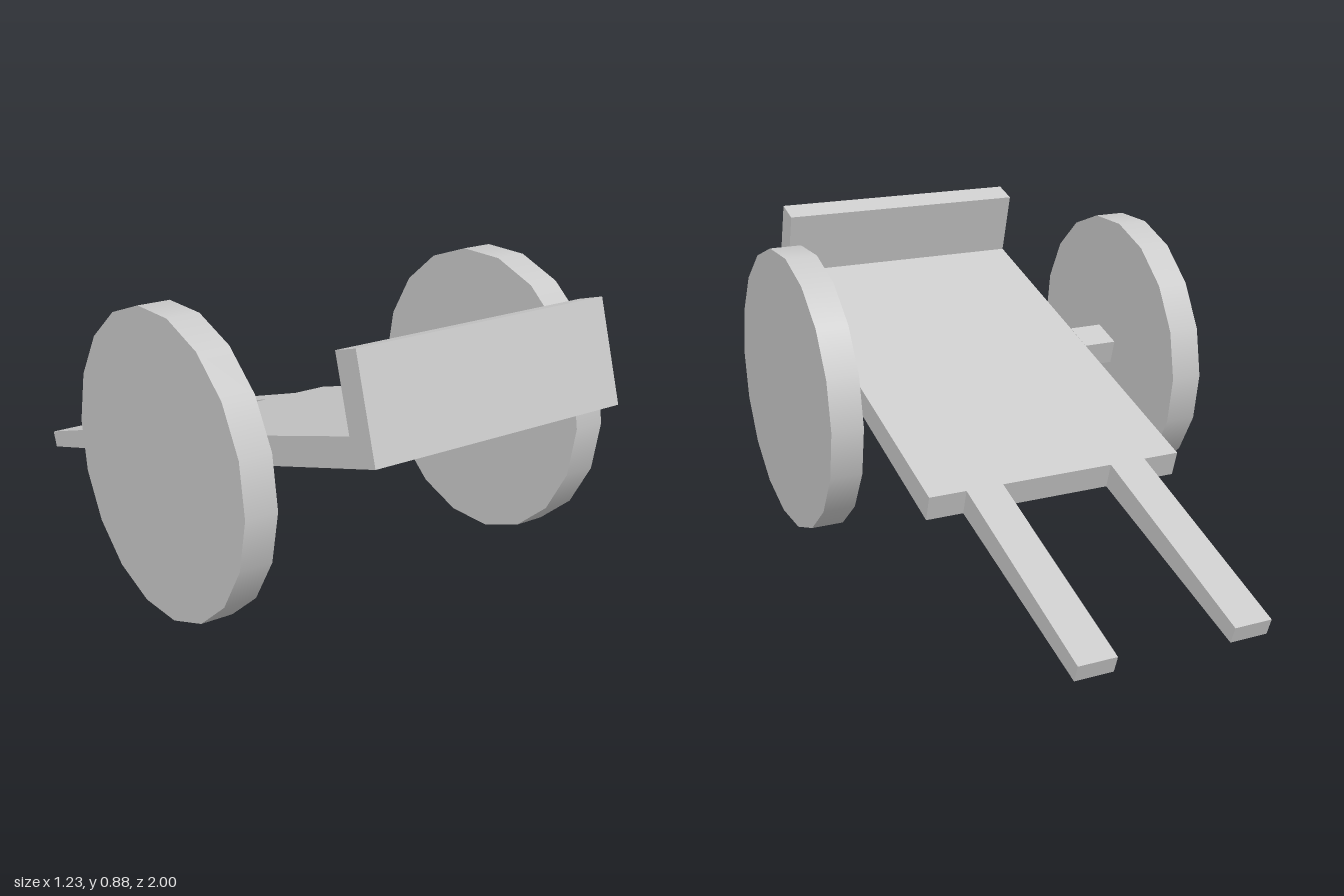
import * as THREE from 'three';

const material = new THREE.MeshStandardMaterial({ color: 0xcccccc });

// Extrudes a side profile of [z, y] points across the cart, from x0 to x1
function sideExtrusion(name, profile, x0, x1) {
  const shape = new THREE.Shape(profile.map(([z, y]) => new THREE.Vector2(-z, y)));
  const geometry = new THREE.ExtrudeGeometry(shape, { depth: x1 - x0, bevelEnabled: false });
  geometry.rotateY(Math.PI / 2).translate(x0, 0, 0);
  const mesh = new THREE.Mesh(geometry, material);
  mesh.name = name;
  return mesh;
}

export function createModel() {
  const cart = new THREE.Group();
  cart.name = 'handcart';

  // Sloping deck with an upright board at its raised front end
  cart.add(sideExtrusion('deckAndFrontBoard', [
    [1, 0.6], [-0.304, 0.197], [-0.329, 0.275],
    [0.896, 0.652], [0.834, 0.853], [0.915, 0.878],
  ], -0.407, 0.407));

  for (const side of [-1, 1]) {
    const label = side > 0 ? 'left' : 'right';
    const mirrored = (name, profile, inner, outer) => cart.add(sideExtrusion(
      label + name, profile, Math.min(side * inner, side * outer), Math.max(side * inner, side * outer)));

    // Tapering pull handle resting on the ground
    mirrored('Handle', [[-0.304, 0.197], [-0.981, 0], [-1, 0.051], [-0.329, 0.275]], 0.177, 0.292);

    // Square axle stub, flush with the deck
    mirrored('Axle', [[0.385, 0.41], [0.28, 0.377], [0.255, 0.455], [0.36, 0.488]], 0.407, 0.517);

    // Solid disc wheel
    const wheelGeometry = new THREE.CylinderGeometry(0.436, 0.436, 0.098, 18);
    wheelGeometry.rotateZ(Math.PI / 2);
    const wheel = new THREE.Mesh(wheelGeometry, material);
    wheel.name = label + 'Wheel';
    wheel.position.set(side * 0.566, 0.43, 0.318);
    cart.add(wheel);
  }
  return cart;
}
